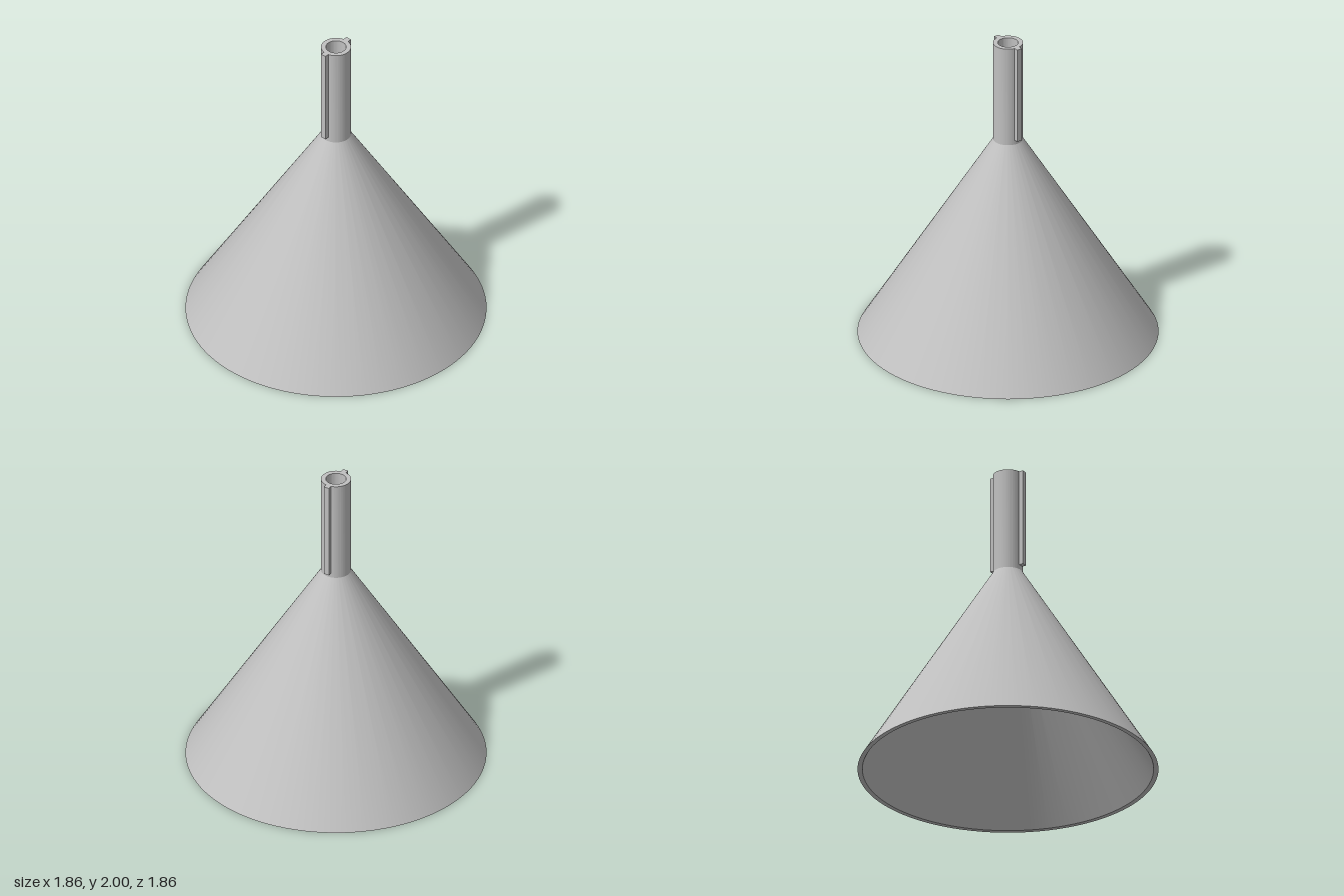
import * as THREE from 'three';
import { toCreasedNormals } from 'three/addons/utils/BufferGeometryUtils.js';

const NECK_Y = 1.335, TOP_Y = 2;
const OUTER = 0.093, BORE = 0.063;

export function createModel() {
  const group = new THREE.Group();
  group.name = 'funnel';
  const grey = new THREE.MeshStandardMaterial({ name: 'grey', color: 0xc0c0c0 });

  const add = (name, geometry) => {
    const mesh = new THREE.Mesh(geometry, grey);
    mesh.name = name;
    group.add(mesh);
    return mesh;
  };

  // Revolve a profile: up the outside, then down the inside
  const revolve = (points) => toCreasedNormals(
    new THREE.LatheGeometry(points.map(([r, y]) => new THREE.Vector2(r, y)), 96), 0.4);

  // Hollow cone with a thin flat rim at the base
  add('coneOutside', revolve([[0.93, 0], [OUTER, NECK_Y]]));
  add('coneInside', revolve([[BORE, NECK_Y], [0.9, 0], [0.93, 0]]));

  // Spout with an open bore
  add('spout', revolve([[OUTER, NECK_Y], [OUTER, TOP_Y], [BORE, TOP_Y], [BORE, NECK_Y]]));

  // Vertical ribs on both sides of the spout
  const ribBottom = 1.365, ribIn = 0.08, ribOut = 0.119;
  for (const [name, side] of [['leftRib', 1], ['rightRib', -1]]) {
    const rib = add(name, new THREE.BoxGeometry(ribOut - ribIn, TOP_Y - ribBottom, 0.036));
    rib.position.set(side * (ribIn + ribOut) / 2, (TOP_Y + ribBottom) / 2, 0);
  }

  return group;
}
